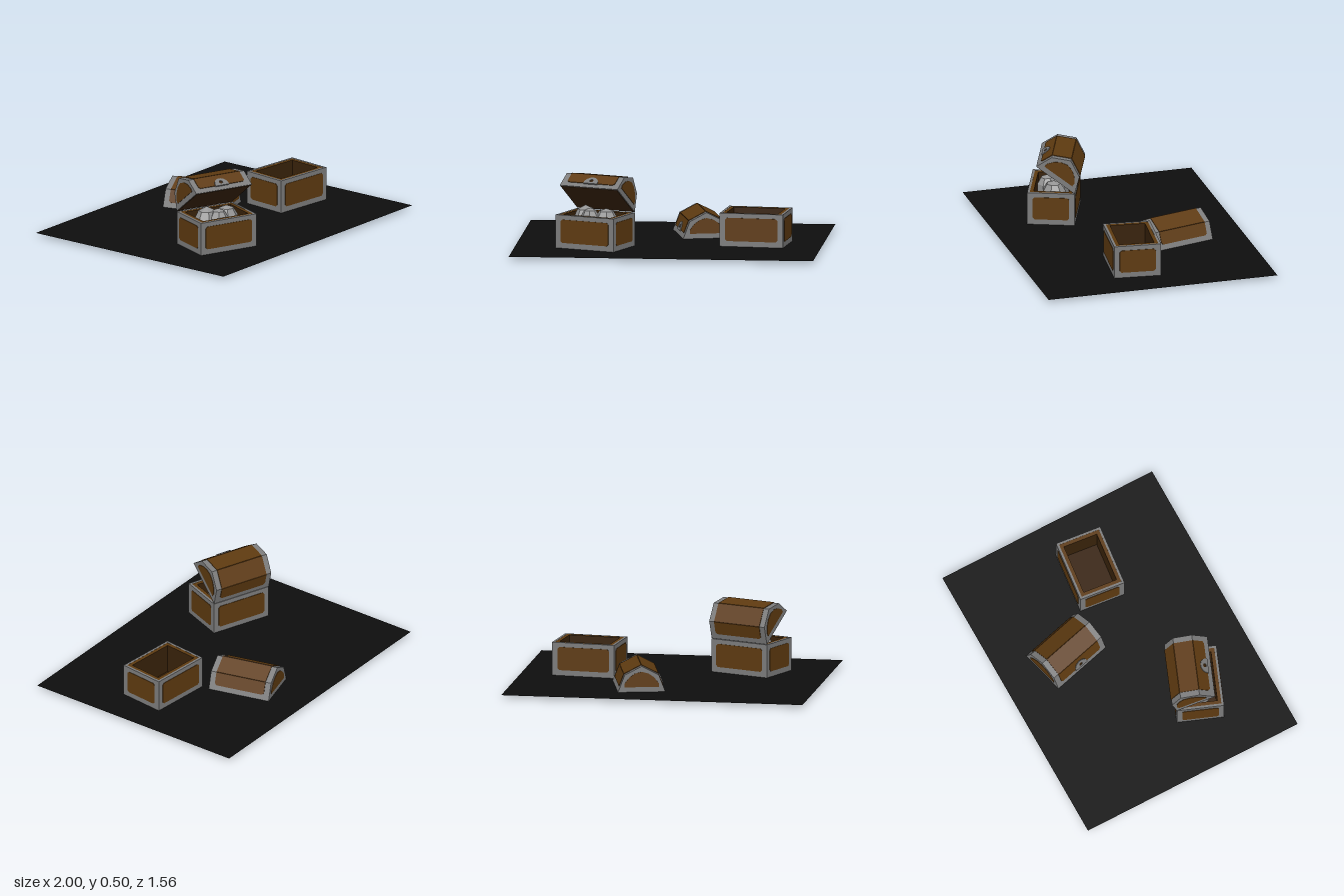
import * as THREE from 'three';

const material = (name, color, side = THREE.FrontSide) => {
  const m = new THREE.MeshStandardMaterial({ color, side, flatShading: true });
  m.name = name;
  return m;
};

const W = 0.422, D = 0.312, H = 0.22;   // chest width, depth, base height
const TRIM = 0.036;                     // width of the metal bands
const PLATE = 0.004;                    // thickness of the wooden panels
// lid cross-section from front to back as [z, y]
const ARCH = [[0.156, 0], [0.112, 0.114], [0, 0.172], [-0.112, 0.114], [-0.156, 0]];

export function createModel() {
  const model = new THREE.Group();
  model.name = 'treasureChests';

  const wood = material('wood', 0x5e3a10);
  const darkWood = material('dark wood', 0x38220a);
  const iron = material('iron', 0x7c7c7c);
  const stone = material('stone', 0x949494);
  const black = material('black ground', 0x0e0e0e, THREE.DoubleSide);

  const add = (parent, name, geometry, mat, pos = [0, 0, 0], rot = [0, 0, 0]) => {
    const mesh = new THREE.Mesh(geometry, mat);
    mesh.name = name;
    mesh.position.set(...pos);
    mesh.rotation.set(...rot);
    parent.add(mesh);
    return mesh;
  };

  const shapeOf = (points) => new THREE.Shape(points.map(([x, y]) => new THREE.Vector2(x, y)));
  const extrude = (shape, depth) =>
    new THREE.ExtrudeGeometry(shape, { depth, bevelEnabled: false, curveSegments: 8 });
  const rect = (w, h) => [[-w / 2, -h / 2], [w / 2, -h / 2], [w / 2, h / 2], [-w / 2, h / 2]];

  // thin panel with clipped corners; top corners stay square when topCut is 0
  const panel = (w, y0, y1, cut, topCut = cut) => extrude(shapeOf([
    [-w / 2 + cut, y0], [w / 2 - cut, y0], [w / 2, y0 + cut], [w / 2, y1 - topCut],
    [w / 2 - topCut, y1], [-w / 2 + topCut, y1], [-w / 2, y1 - topCut], [-w / 2, y0 + cut],
  ]), PLATE);

  // upright rectangular ring
  const ring = (w, d, t, h) => {
    const shape = shapeOf(rect(w, d));
    shape.holes.push(new THREE.Path(rect(w - 2 * t, d - 2 * t).map(([x, y]) => new THREE.Vector2(x, y))));
    return extrude(shape, h).rotateX(-Math.PI / 2);
  };

  function makeBase() {
    const base = new THREE.Group();
    base.name = 'chestBase';
    add(base, 'ironShell', ring(W, D, 0.016, H), iron);
    add(base, 'woodLining', ring(W - 0.032, D - 0.032, 0.024, H - 0.001), [wood, darkWood]);
    add(base, 'floor', new THREE.BoxGeometry(W - 0.04, 0.02, D - 0.04), darkWood, [0, 0.011, 0]);
    // wooden panels on the four sides
    for (let i = 0; i < 4; i++) {
      const across = i % 2 ? D : W, out = (i % 2 ? W : D) / 2 - 0.001;
      const a = i * Math.PI / 2;
      add(base, 'sidePanel', panel(across - 2 * TRIM, TRIM, H - 0.03, 0.012), wood,
        [Math.sin(a) * out, 0, Math.cos(a) * out], [0, a, 0]);
    }
    return base;
  }

  function makeLid() {
    const lid = new THREE.Group();
    lid.name = 'chestLid';
    // solid arched body
    const body = extrude(shapeOf(ARCH), W).translate(0, 0, -W / 2).rotateY(-Math.PI / 2);
    add(lid, 'lidFrame', body, iron);
    add(lid, 'lidUnderside', new THREE.BoxGeometry(W - 0.012, 0.004, D - 0.012), darkWood, [0, -0.001, 0]);

    // wooden panels along the arch
    for (let i = 0; i < 4; i++) {
      const [z0, y0] = ARCH[i], [z1, y1] = ARCH[i + 1];
      const length = Math.hypot(z1 - z0, y1 - y0);
      const angle = Math.atan2(z1 - z0, y1 - y0);
      const w = W - 2 * TRIM - 0.005;
      const geo = i === 0 ? panel(w, TRIM, length, 0.012, 0)
        : i === 3 ? panel(w, 0, length - TRIM, 0, 0.012)
          : panel(w, 0, length, 0, 0);
      add(lid, 'archPanel', geo, wood, [0, y0, z0], [angle, 0, 0]);
    }

    // rounded wooden panels in the two ends
    const end = [[-0.112, 0.034], [0.112, 0.034], [0.112, 0.058], [0.082, 0.098], [0.045, 0.124],
      [0, 0.136], [-0.045, 0.124], [-0.082, 0.098], [-0.112, 0.058]];
    for (const s of [-1, 1]) {
      add(lid, 'endPanel', extrude(shapeOf(end), PLATE), wood,
        [s * (W / 2 - 0.001), 0, 0], [0, s * Math.PI / 2, 0]);
    }

    // half-round lock plate on the lower front face
    const lock = new THREE.Group();
    lock.name = 'lock';
    const plate = new THREE.Shape();
    plate.moveTo(-0.05, 0.03);
    plate.lineTo(0.05, 0.03);
    plate.absarc(0, 0.038, 0.05, 0, Math.PI, false);
    plate.closePath();
    const hole = new THREE.Path();
    hole.absarc(0, 0.056, 0.013, 0, Math.PI * 2, true);
    plate.holes.push(hole);
    add(lock, 'lockPlate', extrude(plate, 0.009), iron);
    add(lock, 'keyhole', new THREE.CircleGeometry(0.015, 10), darkWood, [0, 0.056, 0.006]);
    lock.position.set(0, 0, ARCH[0][0]);
    lock.rotation.x = Math.atan2(ARCH[1][0] - ARCH[0][0], ARCH[1][1]);
    lid.add(lock);
    return lid;
  }

  const place = (object, name, x, y, z, turn) => {
    object.name = name;
    object.position.set(x, y, z);
    object.rotation.y = turn;
    model.add(object);
    return object;
  };

  // ground sheet
  add(model, 'ground', new THREE.PlaneGeometry(2, 1.56), black, [0, 0.02, 0], [-Math.PI / 2, 0, 0]);

  // open chest with its lid tilted back on the rear hinge
  const openChest = place(new THREE.Group(), 'openChest', -0.475, 0.021, 0.3125, -0.374);
  openChest.add(makeBase());
  const hinge = new THREE.Group();
  hinge.name = 'lidHinge';
  hinge.position.set(0, H + 0.003, -D / 2);
  hinge.rotation.x = -0.628;
  const hingedLid = makeLid();
  hingedLid.position.z = D / 2;
  hinge.add(hingedLid);
  openChest.add(hinge);

  // faceted stones heaped in the open chest
  const stones = [
    [-0.54, 0.147, 0.28, 0.092, 0.147, 0.092],
    [-0.40, 0.185, 0.335, 0.08, 0.095, 0.08],
    [-0.505, 0.2, 0.35, 0.07, 0.085, 0.065],
  ];
  stones.forEach(([x, y, z, sx, sy, sz], i) => {
    const rock = add(model, 'stone', new THREE.SphereGeometry(1, 7, 5), stone, [x, y, z], [0, i * 0.8, 0]);
    rock.scale.set(sx, sy, sz);
  });

  // empty base and the loose lid lying on the ground
  place(makeBase(), 'emptyChest', 0.56, 0.021, 0.082, -0.108);
  place(makeLid(), 'looseLid', 0.165, 0.019, -0.313, -1.318);

  return model;
}
